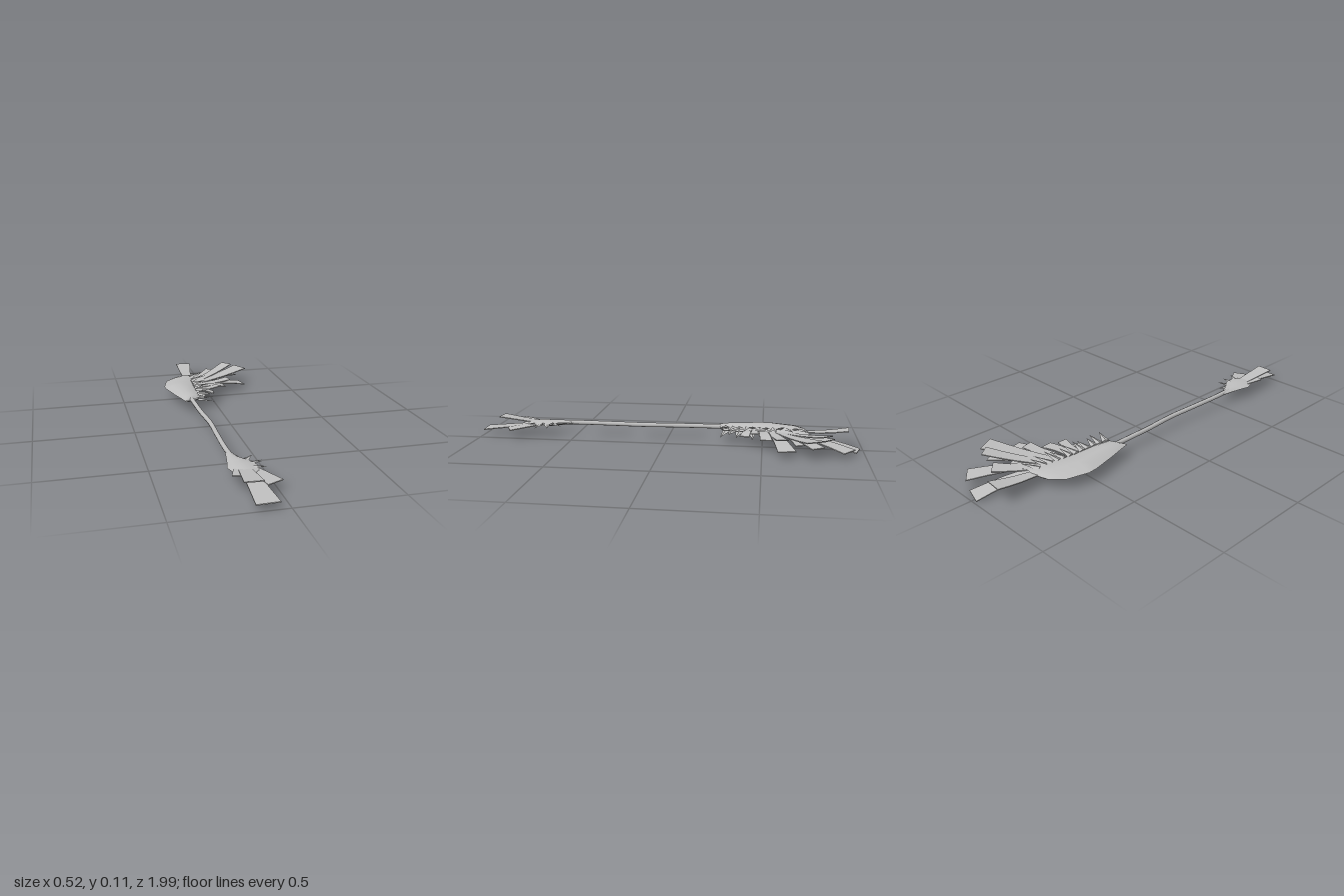
import * as THREE from 'three';

const grey = new THREE.MeshStandardMaterial({ color: 0xbebebe, side: THREE.DoubleSide });
grey.name = 'plain grey';
const MID = 0.072;

function add(group, name, geometry) {
  const mesh = new THREE.Mesh(geometry, grey);
  mesh.name = name;
  group.add(mesh);
}

// Thin plate that widens and bends from base to tip
function feather(base, tip, wBase, wTip, bend = 0.01) {
  const a = new THREE.Vector3(...base), b = new THREE.Vector3(...tip);
  const dir = b.clone().sub(a);
  const side = new THREE.Vector3(-dir.z, 0, dir.x).normalize();
  const g = new THREE.BoxGeometry(1, 0.005, 1, 1, 1, 4);
  const p = g.attributes.position;
  for (let i = 0; i < p.count; i++) {
    const t = p.getZ(i) + 0.5;
    const w = wBase + (wTip - wBase) * t;
    const v = a.clone().addScaledVector(dir, t).addScaledVector(side, -p.getX(i) * w);
    v.y += p.getY(i) + bend * Math.sin(Math.PI * t);
    p.setXYZ(i, v.x, v.y, v.z);
  }
  g.computeVertexNormals();
  return g;
}

// Flattened thorn pointing from base to tip
function thorn(base, tip, width) {
  const a = new THREE.Vector3(...base), b = new THREE.Vector3(...tip);
  const dir = b.clone().sub(a), len = dir.length();
  const g = new THREE.ConeGeometry(width / 2, len, 4, 1).toNonIndexed();
  g.translate(0, len / 2, 0);
  g.scale(1, 1, 0.35);
  const y = dir.normalize();
  const x = new THREE.Vector3(y.z, 0, -y.x).normalize();
  const z = x.clone().cross(y);
  g.applyMatrix4(new THREE.Matrix4().makeBasis(x, y, z).setPosition(a));
  g.computeVertexNormals();
  return g;
}

// One face of a lens-shaped body; each station is [z, left x, right x, half thickness]
function shell(stations, sign) {
  const profile = [[0, 0], [0.2, 0.65], [0.42, 1], [0.72, 0.9], [1, 0.15]];
  const pos = [], idx = [], n = profile.length;
  for (const [z, l, r, h] of stations)
    for (const [u, v] of profile) pos.push(l + (r - l) * u, MID + sign * v * h, z);
  for (let i = 0; i < stations.length - 1; i++)
    for (let j = 0; j < n - 1; j++) {
      const a = i * n + j, b = a + 1, c = a + n, d = c + 1;
      if (sign > 0) idx.push(a, c, b, b, c, d);
      else idx.push(a, b, c, b, d, c);
    }
  const g = new THREE.BufferGeometry();
  g.setAttribute('position', new THREE.Float32BufferAttribute(pos, 3));
  g.setIndex(idx);
  g.computeVertexNormals();
  return g;
}

export function createModel() {
  const model = new THREE.Group();
  model.name = 'featheredAxe';

  // Slightly crooked shaft
  const path = new THREE.CatmullRomCurve3([
    [-0.157, -0.42], [-0.153, -0.28], [-0.148, -0.05], [-0.137, 0.12], [-0.141, 0.28], [-0.145, 0.48], [-0.138, 0.65],
  ].map(([x, z]) => new THREE.Vector3(x, MID + 0.002, z)));
  add(model, 'shaft', new THREE.TubeGeometry(path, 20, 0.012, 8));

  // Curved blade
  const head = new THREE.Group();
  head.name = 'head';
  const blade = [
    [-0.735, -0.1, -0.03, 0.006], [-0.71, -0.18, -0.03, 0.014], [-0.66, -0.23, -0.04, 0.02],
    [-0.545, -0.26, -0.075, 0.024], [-0.5, -0.256, -0.085, 0.025], [-0.37, -0.225, -0.09, 0.024],
    [-0.3, -0.205, -0.1, 0.02], [-0.25, -0.192, -0.185, 0.004],
  ].reverse();
  for (const s of [1, -1]) add(head, s > 0 ? 'bladeTop' : 'bladeUnderside', shell(blade.slice().reverse(), s));

  // Long plumes fanning from the back of the blade
  [
    [-0.1, -0.68, -0.08, 0.095, -0.935, 0.04, 0.085],
    [-0.07, -0.66, 0.025, 0.012, -0.975, 0.04, 0.1],
    [-0.06, -0.64, 0.155, 0.04, -0.92, 0.04, 0.1],
    [-0.06, -0.62, 0.17, 0.115, -0.81, 0.04, 0.07],
    [-0.06, -0.6, 0.19, 0.06, -0.77, 0.04, 0.075],
    [-0.07, -0.58, 0.24, 0.103, -0.755, 0.04, 0.1],
    [-0.07, -0.55, 0.215, 0.045, -0.62, 0.04, 0.09],
    [-0.08, -0.55, 0.13, 0.08, -0.6, 0.04, 0.06],
    [-0.08, -0.5, 0.085, 0.065, -0.52, 0.04, 0.06],
    [-0.09, -0.46, 0.035, 0.085, -0.46, 0.03, 0.05],
    [-0.09, -0.43, 0.0, 0.06, -0.41, 0.03, 0.05],
    [-0.06, -0.67, 0.08, 0.075, -0.83, 0.04, 0.08],
    [-0.06, -0.62, 0.1, 0.05, -0.7, 0.05, 0.08],
  ].forEach(([x, z, tx, ty, tz, w, tw], i) =>
    add(head, 'plume' + (i + 1), feather([x, MID, z], [tx, ty, tz], w, tw, ty > MID ? -0.006 : 0.008)));

  // Ragged thorns in an upper and a lower row
  for (const s of [1, -1])
    for (let i = 0; i < 12; i++) {
      const t = i / 11, z = -0.69 + 0.38 * t;
      const base = [-0.09 - 0.02 * t, MID + s * 0.012, z];
      const reach = [0.08, 0.06, 0.09, 0.065][(i + (s > 0 ? 0 : 1)) % 4];
      const lift = [0.018, 0.034, 0.022, 0.044][i % 4] * (1 - 0.45 * t);
      add(head, s > 0 ? 'upperThorn' : 'lowerThorn',
        thorn(base, [base[0] + reach + 0.01, MID + s * lift, z - 0.045 + 0.07 * t], 0.04));
    }
  model.add(head);

  // Leaf-shaped pommel
  const pommel = new THREE.Group();
  pommel.name = 'pommel';
  const leaf = [
    [0.52, -0.157, -0.132, 0.01], [0.6, -0.17, -0.105, 0.014], [0.64, -0.178, -0.07, 0.016],
    [0.69, -0.19, -0.055, 0.016], [0.74, -0.175, -0.06, 0.012], [0.79, -0.15, -0.1, 0.004],
  ];
  for (const s of [1, -1]) add(pommel, s > 0 ? 'pommelTop' : 'pommelUnderside', shell(leaf, s));

  // Tail feathers and short side barbs
  [
    [-0.11, 0.68, -0.097, 0.04, 0.998, 0.05, 0.105],
    [-0.12, 0.68, -0.133, 0.102, 0.918, 0.05, 0.085],
    [-0.1, 0.68, -0.02, 0.055, 0.845, 0.04, 0.085],
    [-0.14, 0.68, -0.175, 0.085, 0.81, 0.03, 0.045],
  ].forEach(([x, z, tx, ty, tz, w, tw], i) =>
    add(pommel, 'tailFeather' + (i + 1), feather([x, MID, z], [tx, ty, tz], w, tw, 0)));
  [[-0.075, 0.575], [-0.055, 0.6], [-0.02, 0.635], [-0.03, 0.665], [-0.012, 0.7], [-0.03, 0.735]].forEach(([x, z], i) =>
    add(pommel, 'barb', thorn([-0.115, MID, 0.64 + i * 0.012], [x, MID + (i % 2 ? 0.012 : -0.008), z], 0.05)));
  model.add(pommel);

  return model;
}
